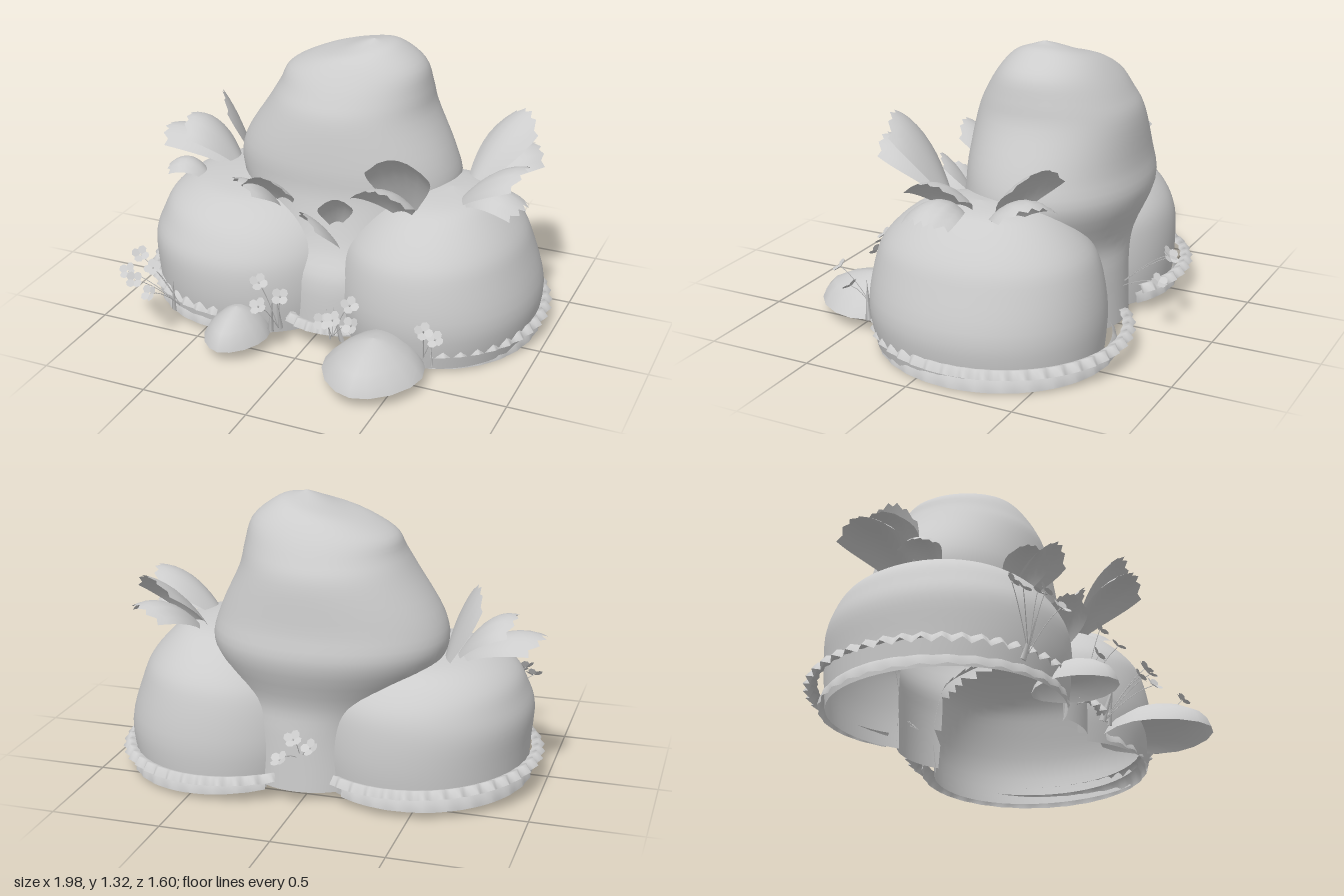
import * as THREE from 'three';

const stone = new THREE.MeshStandardMaterial({ color: 0xcccccc, side: THREE.DoubleSide });
stone.name = 'paleGrey';
const V = (x, y, z) => new THREE.Vector3(x, y, z);
const ROUND = 2.08; // superellipse power of the boulders

// Grid surface from rows of points; closed rows wrap round
function surface(rows, closed) {
  const n = rows[0].length, index = [];
  for (let i = 0; i < rows.length - 1; i++) {
    for (let j = 0; j < (closed ? n : n - 1); j++) {
      const a = i * n + j, b = i * n + (j + 1) % n, c = a + n, d = b + n;
      index.push(a, c, b, b, c, d);
    }
  }
  const g = new THREE.BufferGeometry().setFromPoints(rows.flat());
  g.setIndex(index);
  g.computeVertexNormals();
  return g;
}

// Rounded shell, open below: rings are [y, cx, cz, rx, rz, tilt]
function shell(rings, power, seg) {
  const sp = (v) => Math.sign(v) * Math.abs(v) ** (2 / power);
  return surface(rings.map(([y, cx, cz, rx, rz, tilt = 0]) => Array.from({ length: seg }, (_, j) => {
    const t = (j / seg) * Math.PI * 2, dx = rx * sp(Math.cos(t));
    return V(cx + dx, y + tilt * dx, cz + rz * sp(Math.sin(t)));
  })), true);
}

// Smoothly split each gap between rings into smaller steps
function refine(rings, steps) {
  const at = (i) => rings[Math.min(Math.max(i, 0), rings.length - 1)];
  return rings.flatMap((r, i) => (i === rings.length - 1 ? [r] : Array.from({ length: steps }, (_, k) => {
    const t = k / steps;
    return r.map((v, c) => {
      const [p, n, q] = [at(i - 1)[c], at(i + 1)[c], at(i + 2)[c]];
      return v + 0.5 * t * (n - p + t * (2 * p - 5 * v + 4 * n - q + t * (3 * (v - n) + q - p)));
    });
  })));
}

// True when a point lies within a ringed shell, or just below its rim
function inside(p, rings) {
  const y = Math.max(p.y, rings[0][0]);
  for (let i = 0; i < rings.length - 1; i++) {
    const [a, b] = [rings[i], rings[i + 1]];
    if (y < a[0] || y > b[0]) continue;
    const [, cx, cz, rx, rz] = a.map((v, c) => v + (b[c] - v) * (y - a[0]) / (b[0] - a[0]));
    return Math.abs((p.x - cx) / rx) ** ROUND + Math.abs((p.z - cz) / rz) ** ROUND < 1;
  }
  return false;
}

// Drop the triangles buried in neighbouring shells, so the boulders share one hollow
function hollow(geometry, others) {
  const pos = geometry.attributes.position, old = geometry.index.array, kept = [];
  const buried = Array.from({ length: pos.count }, (_, i) => {
    const p = new THREE.Vector3().fromBufferAttribute(pos, i);
    return others.some((rings) => inside(p, rings));
  });
  for (let i = 0; i < old.length; i += 3) {
    const tri = [old[i], old[i + 1], old[i + 2]];
    if (!tri.every((v) => buried[v])) kept.push(...tri);
  }
  geometry.setIndex(kept);
  return geometry;
}

// Broad cupped leaf arching from base to tip, with a ragged end
function leaf(base, tip, width, arch) {
  const a = V(...base), b = V(...tip);
  const mid = a.clone().lerp(b, 0.5).add(V(0, arch, 0));
  const curve = new THREE.QuadraticBezierCurve3(a, mid, b);
  const side = V(b.z - a.z, 0, a.x - b.x).normalize();
  const rows = [];
  for (let i = 0; i <= 7; i++) {
    const row = [];
    for (let j = 0; j <= 10; j++) {
      const u = j / 5 - 1;
      const ragged = 1 - 0.14 * u * u - (j % 2 ? 0.07 : 0);
      const t = i / 7 * ragged;
      const w = width * 0.5 * (0.3 + 0.75 * Math.sin(Math.PI * Math.min(1, t * 0.72)));
      const p = curve.getPoint(t).addScaledVector(side, u * w);
      p.y -= 0.5 * w * u * u;
      row.push(p);
    }
    rows.push(row);
  }
  return surface(rows, false);
}

// Strip along an ellipse; each profile row gives [radial offset, y, ripple]
function rim(cx, cz, rx, rz, from, to, yAt, profile, steps) {
  return surface(profile.map(([off, y, ripple]) => Array.from({ length: steps + 1 }, (_, j) => {
    const t = THREE.MathUtils.degToRad(from + (to - from) * j / steps);
    const wave = ripple * [0, 1, 0, -1][j % 4];
    const x = cx + (rx + off + wave) * Math.cos(t);
    return V(x, yAt(x) + y + wave * 0.6, cz + (rz + off + wave) * Math.sin(t));
  })), false);
}

export function createModel() {
  const model = new THREE.Group();
  const add = (name, geometry, parent = model) => {
    const m = new THREE.Mesh(geometry, stone);
    m.name = name;
    parent.add(m);
    return m;
  };

  // Three merged boulders
  const boulders = {
    rightBoulder: [
      [0.04, -0.42, -0.08, 0.49, 0.52], [0.2, -0.42, -0.075, 0.5, 0.54], [0.35, -0.43, -0.075, 0.5, 0.535],
      [0.45, -0.43, -0.085, 0.47, 0.5], [0.53, -0.44, -0.09, 0.42, 0.44], [0.59, -0.44, -0.1, 0.34, 0.36],
      [0.625, -0.44, -0.1, 0.23, 0.25], [0.645, -0.44, -0.1, 0, 0]],
    leftBoulder: [
      [0.03, 0.47, -0.125, 0.445, 0.515], [0.22, 0.47, -0.115, 0.475, 0.535], [0.42, 0.46, -0.11, 0.43, 0.505],
      [0.53, 0.47, -0.11, 0.37, 0.45], [0.64, 0.48, -0.11, 0.26, 0.33], [0.69, 0.5, -0.11, 0.16, 0.21],
      [0.71, 0.52, -0.11, 0, 0]],
    topBoulder: [
      [0.05, 0.03, -0.13, 0.36, 0.45, 0], [0.3, 0.03, -0.13, 0.38, 0.44, 0], [0.45, 0, -0.17, 0.43, 0.4, 0],
      [0.65, -0.03, -0.235, 0.53, 0.405, 0], [0.8, -0.04, -0.23, 0.51, 0.39, 0],
      [1.0, -0.025, -0.235, 0.4, 0.365, 0], [1.1, -0.01, -0.235, 0.36, 0.32, 0.02],
      [1.19, -0.005, -0.235, 0.325, 0.26, 0.07], [1.26, 0.01, -0.23, 0.22, 0.19, 0.14],
      [1.3, 0.06, -0.22, 0.1, 0.1, 0.18], [1.33, 0.09, -0.2, 0, 0, 0]],
  };
  for (const [name, rings] of Object.entries(boulders)) {
    const others = Object.values(boulders).filter((r) => r !== rings);
    add(name, hollow(shell(refine(rings, 4), ROUND, 64), others));
  }

  // Low blunt stones at the front: [height, width, reach] as fractions
  const footStone = (cx, back, tip, half, base, top) => shell(
    [[0, 1, 1], [0.28, 0.86, 0.97], [0.55, 0.66, 0.9], [0.82, 0.4, 0.75], [0.95, 0.18, 0.6], [1, 0, 0.5]].map(([h, w, reach]) => {
      const depth = (tip - back) * (2 * reach - 1) / 2;
      return [base + (top - base) * h, cx, (back + tip) / 2, half * w, depth];
    }), 1.75, 16);
  add('smallFootStone', footStone(-0.3, 0.28, 0.68, 0.15, 0.07, 0.205));
  add('largeFootStone', footStone(0.39, 0.25, 0.79, 0.23, 0.07, 0.22));

  // Ground band and rippled grass fringe round each boulder
  const bandY = (x) => (x < 0 ? 0.045 : 0.055 - 0.045 * x);
  const fringeY = (x) => 0.115 - 0.025 * x;
  const band = [[-0.01, 0.06, 0], [0.01, 0.035, 0.002], [0.015, 0, 0.005]];
  const fringe = [[-0.05, 0.025, 0.003], [-0.022, 0.035, 0.008], [0, 0, 0.013]];
  add('rightGroundBand', rim(-0.43, -0.09, 0.49, 0.53, 60, 300, bandY, band, 80));
  add('leftGroundBand', rim(0.45, -0.15, 0.47, 0.53, 234, 475, bandY, band, 80));
  add('rightFringe', rim(-0.43, -0.11, 0.55, 0.585, 88, 302, fringeY, fringe, 104));
  add('leftFringe', rim(0.42, -0.16, 0.55, 0.59, 234, 430, fringeY, fringe, 96));
  add('centreFringe', rim(0.05, 0.28, 0.2, 0.14, 35, 150, fringeY, fringe, 24));

  // Leaf tufts: [base, tip, width, arch]
  const leaves = [
    [[-0.57, 0.62, -0.27], [-0.7, 0.96, -0.2], 0.22, 0.06],
    [[-0.6, 0.62, -0.18], [-0.87, 0.82, -0.16], 0.28, 0.14],
    [[-0.6, 0.6, -0.17], [-1.0, 0.74, -0.18], 0.27, 0.14],
    [[-0.66, 0.58, 0.01], [-0.88, 0.63, 0.03], 0.17, 0.14],
    [[0.56, 0.66, -0.24], [0.74, 0.97, -0.52], 0.25, 0.1],
    [[0.58, 0.66, -0.25], [0.8, 0.81, -0.5], 0.27, 0.14],
    [[0.56, 0.66, -0.04], [0.89, 0.88, -0.05], 0.26, 0.12],
    [[0.58, 0.67, -0.03], [0.9, 0.7, -0.02], 0.23, 0.16],
    [[-0.22, 0.6, 0.13], [-0.22, 0.82, 0.38], 0.22, 0.06],
    [[-0.24, 0.6, 0.15], [-0.37, 0.76, 0.32], 0.2, 0.08],
    [[0.08, 0.47, 0.2], [-0.04, 0.66, 0.33], 0.18, 0.05],
    [[0.06, 0.56, 0.18], [0.12, 0.75, 0.32], 0.15, 0.05],
    [[0.37, 0.66, 0.14], [0.36, 0.89, 0.47], 0.26, 0.11],
    [[0.38, 0.67, 0.13], [0.42, 1.02, 0.39], 0.27, 0.12],
  ];
  const tufts = new THREE.Group();
  tufts.name = 'leafTufts';
  model.add(tufts);
  leaves.forEach((l) => add('leaf', leaf(...l), tufts));

  // Four-petalled sprigs: root [x, y, z] followed by flower heads
  const sprigs = [
    [[-0.62, 0.12, 0.44], [-0.8, 0.36, 0.47], [-0.83, 0.3, 0.54], [-0.76, 0.3, 0.6], [-0.67, 0.26, 0.62], [-0.7, 0.34, 0.53]],
    [[-0.12, 0.1, 0.42], [-0.16, 0.38, 0.53], [-0.13, 0.3, 0.6], [-0.08, 0.3, 0.48]],
    [[0.14, 0.1, 0.4], [0.28, 0.36, 0.53], [0.22, 0.3, 0.58], [0.16, 0.27, 0.56], [0.3, 0.28, 0.56]],
    [[0.58, 0.1, 0.4], [0.63, 0.32, 0.55], [0.66, 0.25, 0.48]],
    [[0.02, 0.18, -0.52], [-0.1, 0.34, -0.75], [-0.03, 0.38, -0.77], [0.04, 0.27, -0.75]],
  ];
  sprigs.forEach(([root, ...heads]) => {
    const sprig = new THREE.Group();
    sprig.name = 'flowerSprig';
    model.add(sprig);
    heads.forEach((h, i) => {
      const a = V(...root), b = V(...h);
      const bend = a.clone().lerp(b, 0.6).add(V(0, 0.04, 0));
      add('stem', new THREE.TubeGeometry(new THREE.QuadraticBezierCurve3(a, bend, b), 6, 0.002, 3), sprig);
      const head = new THREE.Group();
      head.name = 'flowerHead';
      head.position.copy(b);
      head.rotation.set(0.7 * Math.sign(h[2]), i * 1.3, 0.3 * (i % 3 - 1));
      sprig.add(head);
      for (let k = 0; k < 4; k++) {
        const petal = new THREE.CircleGeometry(0.021, 7);
        petal.rotateX(-Math.PI / 2).translate(0.024, 0, 0).rotateZ(0.35).rotateY(k * Math.PI / 2);
        add('petal', petal, head);
      }
    });
  });

  // Thin grass blades
  [[-0.14, 0.45], [-0.12, 0.42], [0.13, 0.42], [0.17, 0.41], [0.58, 0.4], [0.62, 0.42], [-0.64, 0.46]].forEach(([x, z], i) => {
    const blade = add('grassBlade', new THREE.ConeGeometry(0.016, 0.2, 4).scale(1, 1, 0.3));
    blade.position.set(x, 0.18, z);
    blade.rotation.set(0.2, i, 0.15 * (i % 3 - 1));
  });

  return model;
}
